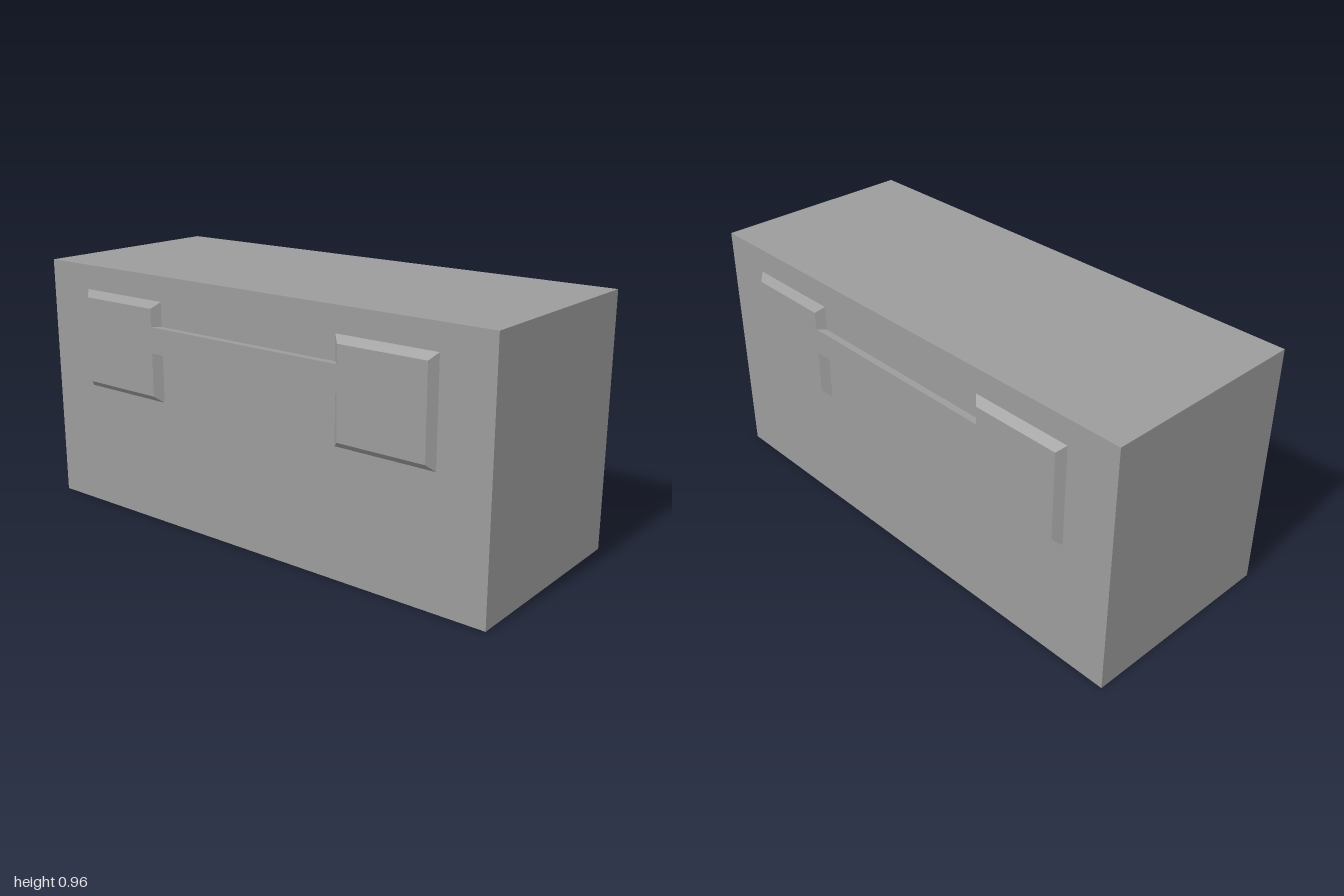
import * as THREE from 'three';

const HALF_W = 0.403, HEIGHT = 0.963, LENGTH = 2, RAISE = 0.027;

const material = new THREE.MeshStandardMaterial({
  color: 0x9b9b9b, flatShading: true, side: THREE.DoubleSide,
});

function addMesh(parent, name, geometry) {
  const mesh = new THREE.Mesh(geometry, material);
  mesh.name = name;
  parent.add(mesh);
  return mesh;
}

// Counter-clockwise outline of two square pads joined by a narrow bar
function padOutline(inner, outer, bottom, top) {
  const barLow = 0.675, barHigh = 0.775;
  return [
    [-outer, bottom], [-inner, bottom], [-inner, barLow], [inner, barLow],
    [inner, bottom], [outer, bottom], [outer, top], [inner, top],
    [inner, barHigh], [-inner, barHigh], [-inner, top], [-outer, top],
  ].map(([x, y]) => new THREE.Vector2(x, y));
}

// Sloped rim between the outline on the wall and the raised outline
function rimGeometry(base, raised) {
  const positions = [];
  base.forEach((a, i) => {
    const j = (i + 1) % base.length;
    const b = base[j], c = raised[j], d = raised[i];
    positions.push(
      a.x, a.y, 0, b.x, b.y, 0, c.x, c.y, RAISE,
      a.x, a.y, 0, c.x, c.y, RAISE, d.x, d.y, RAISE,
    );
  });
  const geometry = new THREE.BufferGeometry();
  geometry.setAttribute('position', new THREE.Float32BufferAttribute(positions, 3));
  geometry.computeVertexNormals();
  return geometry;
}

// Long wall with a hollow embossed panel, facing +z before it is turned
function createSide(name) {
  const side = new THREE.Group();
  side.name = name;
  const base = padOutline(0.402, 0.8, 0.484, 0.868);
  const raised = padOutline(0.43, 0.776, 0.509, 0.843);

  const wall = new THREE.Shape([
    new THREE.Vector2(-LENGTH / 2, 0), new THREE.Vector2(LENGTH / 2, 0),
    new THREE.Vector2(LENGTH / 2, HEIGHT), new THREE.Vector2(-LENGTH / 2, HEIGHT),
  ]);
  wall.holes.push(new THREE.Path(base));

  addMesh(side, 'sideWall', new THREE.ShapeGeometry(wall));
  addMesh(side, 'embossRim', rimGeometry(base, raised));
  addMesh(side, 'embossFace', new THREE.ShapeGeometry(new THREE.Shape(raised)))
    .position.z = RAISE;
  return side;
}

export function createModel() {
  const model = new THREE.Group();
  model.name = 'openBottomCover';

  // Top panel
  const top = addMesh(model, 'topPanel', new THREE.PlaneGeometry(HALF_W * 2, LENGTH));
  top.rotation.x = -Math.PI / 2;
  top.position.y = HEIGHT;

  // End walls and embossed long walls; the underside stays open
  for (const s of [1, -1]) {
    const end = addMesh(model, s > 0 ? 'frontWall' : 'backWall',
      new THREE.PlaneGeometry(HALF_W * 2, HEIGHT));
    end.position.set(0, HEIGHT / 2, s * LENGTH / 2);
    if (s < 0) end.rotation.y = Math.PI;

    const side = createSide(s > 0 ? 'leftSide' : 'rightSide');
    side.position.x = s * HALF_W;
    side.rotation.y = s * Math.PI / 2;
    model.add(side);
  }
  return model;
}
